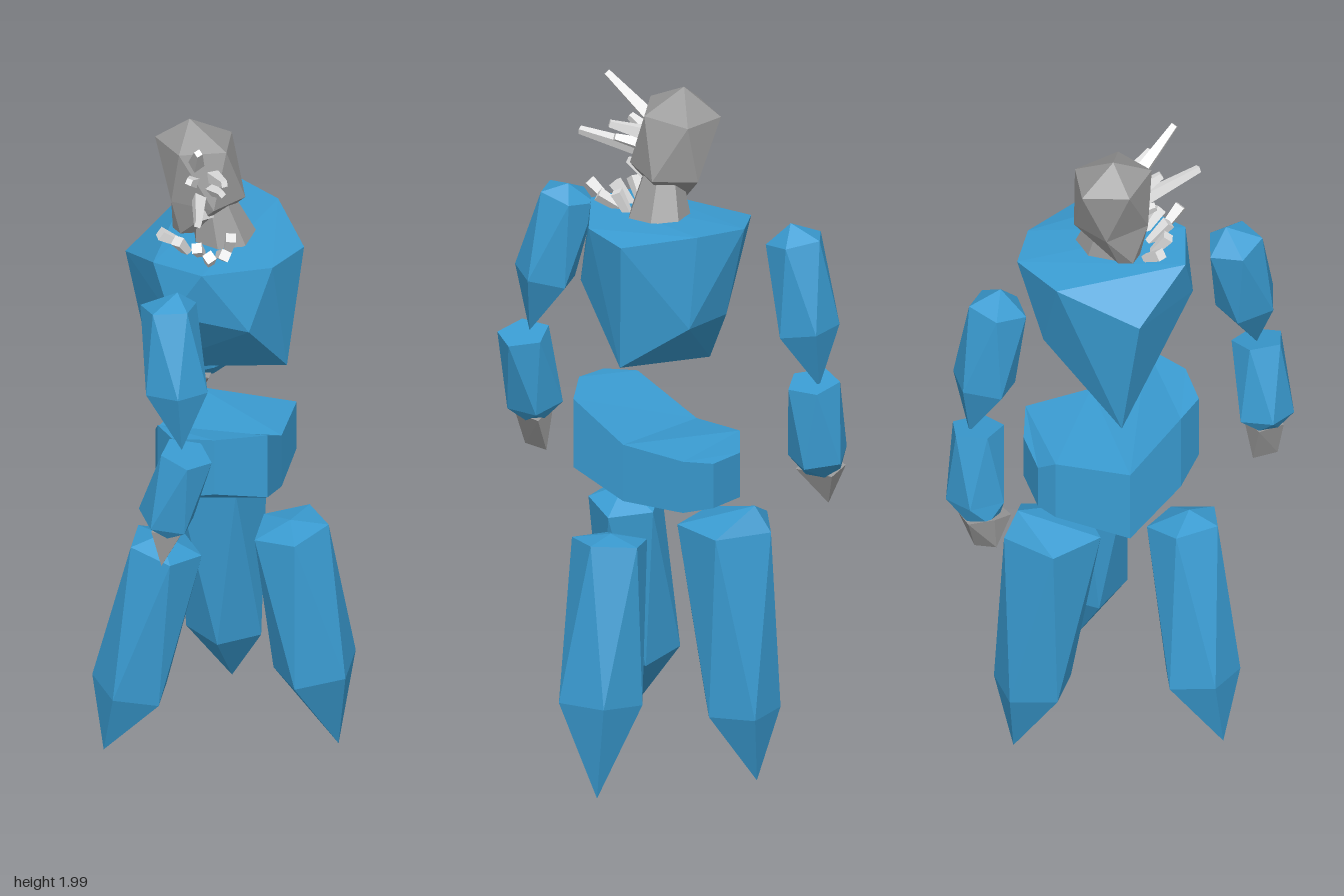
import * as THREE from 'three';
import { ConvexGeometry } from 'three/addons/geometries/ConvexGeometry.js';

const paint = (name, color) => {
  const m = new THREE.MeshStandardMaterial({ color, flatShading: true });
  m.name = name;
  return m;
};

// Loft through [x, y, z, radius] stations; rings lie square to the overall axis.
// A twist of half a side per ring gives long triangular facets.
function loft(stations, sides = 5, turn = 0, twist = 0) {
  const centers = stations.map(s => new THREE.Vector3(s[0], s[1], s[2]));
  const last = stations.length - 1;
  const d = centers[last].clone().sub(centers[0]).normalize();
  const u = new THREE.Vector3(1, 0, 0).addScaledVector(d, -d.x).normalize();
  const v = d.clone().cross(u);
  const point = (i, j) => {
    const a = THREE.MathUtils.degToRad(turn + i * twist + (j % sides) / sides * 360);
    const r = stations[i][3];
    return centers[i].clone().addScaledVector(u, r * Math.cos(a)).addScaledVector(v, r * Math.sin(a));
  };
  const pts = [];
  for (let j = 0; j < sides; j++) {
    for (let i = 0; i < last; i++) {
      const a = point(i, j), b = point(i, j + 1), c = point(i + 1, j + 1), e = point(i + 1, j);
      if (stations[i][3] > 0) pts.push(a, b, e);
      if (stations[i + 1][3] > 0) pts.push(b, c, e);
    }
    if (stations[0][3] > 0) pts.push(centers[0], point(0, j + 1), point(0, j));
    if (stations[last][3] > 0) pts.push(centers[last], point(last, j), point(last, j + 1));
  }
  const g = new THREE.BufferGeometry().setFromPoints(pts);
  g.computeVertexNormals();
  return g;
}

const crystal = (stations, turn) => loft(stations, 5, turn, 36);
const hull = pts => new ConvexGeometry(pts.map(p => new THREE.Vector3(...p)));

// Hip band: four-cornered sections along z, each corner [x, y].
function bandGeometry(sections) {
  const pts = [];
  const P = (i, j) => new THREE.Vector3(...sections[i][1][j % 4], sections[i][0]);
  const quad = (a, b, c, d) => pts.push(a, b, c, a, c, d);
  const last = sections.length - 1;
  for (let i = 0; i < last; i++)
    for (let j = 0; j < 4; j++) quad(P(i, j), P(i + 1, j), P(i + 1, j + 1), P(i, j + 1));
  quad(P(0, 0), P(0, 1), P(0, 2), P(0, 3));
  quad(P(last, 3), P(last, 2), P(last, 1), P(last, 0));
  const g = new THREE.BufferGeometry().setFromPoints(pts);
  g.computeVertexNormals();
  return g;
}

export function createModel() {
  const root = new THREE.Group();
  root.name = 'crystalFigure';
  const blue = paint('blueCrystal', 0x3a9cd2);
  const grey = paint('greyStone', 0x999999);
  const pale = paint('paleShard', 0xe2e2e2);
  const add = (name, geometry, material) => {
    const mesh = new THREE.Mesh(geometry, material);
    mesh.name = name;
    root.add(mesh);
  };

  // Three pointed legs
  add('sideLeg', crystal([[0.165, 0.745, 0.02, 0], [0.165, 0.725, 0.02, 0.108], [0.235, 0.28, 0.01, 0.12], [0.29, 0.02, -0.02, 0]], -40), blue);
  add('frontLeg', crystal([[-0.15, 0.75, 0.19, 0], [-0.145, 0.71, 0.18, 0.105], [-0.235, 0.25, 0.195, 0.11], [-0.3, 0.06, 0.24, 0]], -42), blue);
  add('backLeg', crystal([[-0.09, 0.81, -0.28, 0], [-0.1, 0.735, -0.185, 0.138], [-0.085, 0.21, -0.235, 0.11], [-0.085, 0.01, -0.29, 0]], -56), blue);

  // Bent hip band, narrowing at both ends
  const section = (z, x0, x1, lowL, lowR, topR, topL) =>
    [z, [[x0, lowL], [x0, topL], [x1, topR], [x1, lowR]]];
  add('hips', bandGeometry([
    section(-0.225, -0.1, 0.03, 0.82, 0.83, 0.96, 0.95),
    section(-0.19, -0.15, 0.125, 0.81, 0.84, 0.99, 0.99),
    section(0, -0.22, 0.135, 0.745, 0.835, 1.0, 0.96),
    section(0.16, -0.17, 0.14, 0.85, 0.9, 1.1, 1.08),
    section(0.23, -0.11, 0.01, 0.9, 0.93, 1.105, 1.09),
  ]), blue);

  // Faceted torso
  add('torso', hull([
    [-0.18, 1.61, 0.17], [-0.03, 1.62, 0.217], [0.14, 1.61, 0.11], [0.19, 1.6, -0.03],
    [0.07, 1.63, -0.2], [-0.055, 1.63, -0.27], [-0.19, 1.61, -0.2], [-0.305, 1.52, 0],
    [-0.12, 1.47, 0.21], [0.09, 1.43, 0.17], [0.165, 1.41, -0.01], [0.08, 1.36, -0.18],
    [-0.07, 1.36, -0.2], [0.15, 1.23, 0], [-0.24, 1.14, -0.03],
  ]), blue);

  // Arms: upper arm, forearm and wedge hand
  add('frontUpperArm', crystal([[-0.07, 1.625, 0.32, 0], [-0.09, 1.585, 0.335, 0.08], [-0.055, 1.35, 0.385, 0.088], [-0.03, 1.185, 0.42, 0]], 0), blue);
  add('frontForearm', crystal([[-0.015, 1.18, 0.43, 0.074], [-0.07, 0.965, 0.43, 0.08], [-0.07, 0.93, 0.43, 0.045]], 0), blue);
  add('frontHand', hull([
    [-0.115, 0.94, 0.4], [-0.1, 0.94, 0.475], [-0.02, 0.94, 0.46], [-0.02, 0.93, 0.385],
    [-0.075, 0.83, 0.465], [-0.075, 0.825, 0.395],
  ]), grey);
  add('backUpperArm', crystal([[-0.16, 1.63, -0.35, 0], [-0.17, 1.58, -0.36, 0.083], [-0.165, 1.33, -0.4, 0.09], [-0.165, 1.17, -0.44, 0]], -51), blue);
  add('backForearm', crystal([[-0.165, 1.18, -0.42, 0.075], [-0.185, 0.96, -0.425, 0.085], [-0.21, 0.91, -0.42, 0.05]], 30), blue);
  add('backHand', hull([
    [-0.265, 0.93, -0.4], [-0.25, 0.92, -0.47], [-0.175, 0.91, -0.475], [-0.17, 0.91, -0.36],
    [-0.24, 0.92, -0.345], [-0.25, 0.825, -0.39], [-0.21, 0.815, -0.44],
  ]), grey);

  // Neck and head
  add('neck', loft([[-0.03, 1.61, -0.005, 0.09], [-0.055, 1.73, 0, 0.055]], 7, 20), grey);
  add('head', crystal([[-0.13, 1.635, 0.02, 0.035], [-0.08, 1.74, -0.005, 0.108], [-0.112, 1.9, -0.02, 0.112], [-0.13, 1.965, -0.02, 0]], -99), grey);

  // Shards on the face taper outward, those on the chest widen: base, then tip
  const shards = [
    [[-0.09, 1.87, 0.06], [-0.05, 1.99, 0.18]],
    [[-0.08, 1.775, 0.06], [-0.03, 1.81, 0.255]],
    [[-0.05, 1.84, 0.05], [0.01, 1.87, 0.13]],
    [[-0.06, 1.8, 0.05], [0, 1.83, 0.12]],
    [[-0.09, 1.82, 0.06], [-0.09, 1.86, 0.13]],
    [[-0.06, 1.72, 0.05], [-0.07, 1.74, 0.12]],
    [[-0.13, 1.62, 0.07], [-0.18, 1.66, 0.1]],
    [[-0.1, 1.61, 0.1], [-0.12, 1.67, 0.14]],
    [[-0.06, 1.61, 0.1], [-0.06, 1.67, 0.16]],
    [[-0.03, 1.61, 0.14], [-0.01, 1.68, 0.21]],
    [[-0.02, 1.61, 0.09], [0.02, 1.66, 0.16]],
    [[0, 1.61, 0.07], [0.02, 1.68, 0.1]],
  ];
  shards.forEach(([a, b], i) => {
    const face = i < 6;
    add(face ? 'faceShard' : 'chestShard', loft([[...a, face ? 0.024 : 0.013], [...b, face ? 0.012 : 0.02]], 4, 30 * i), pale);
  });

  return root;
}
